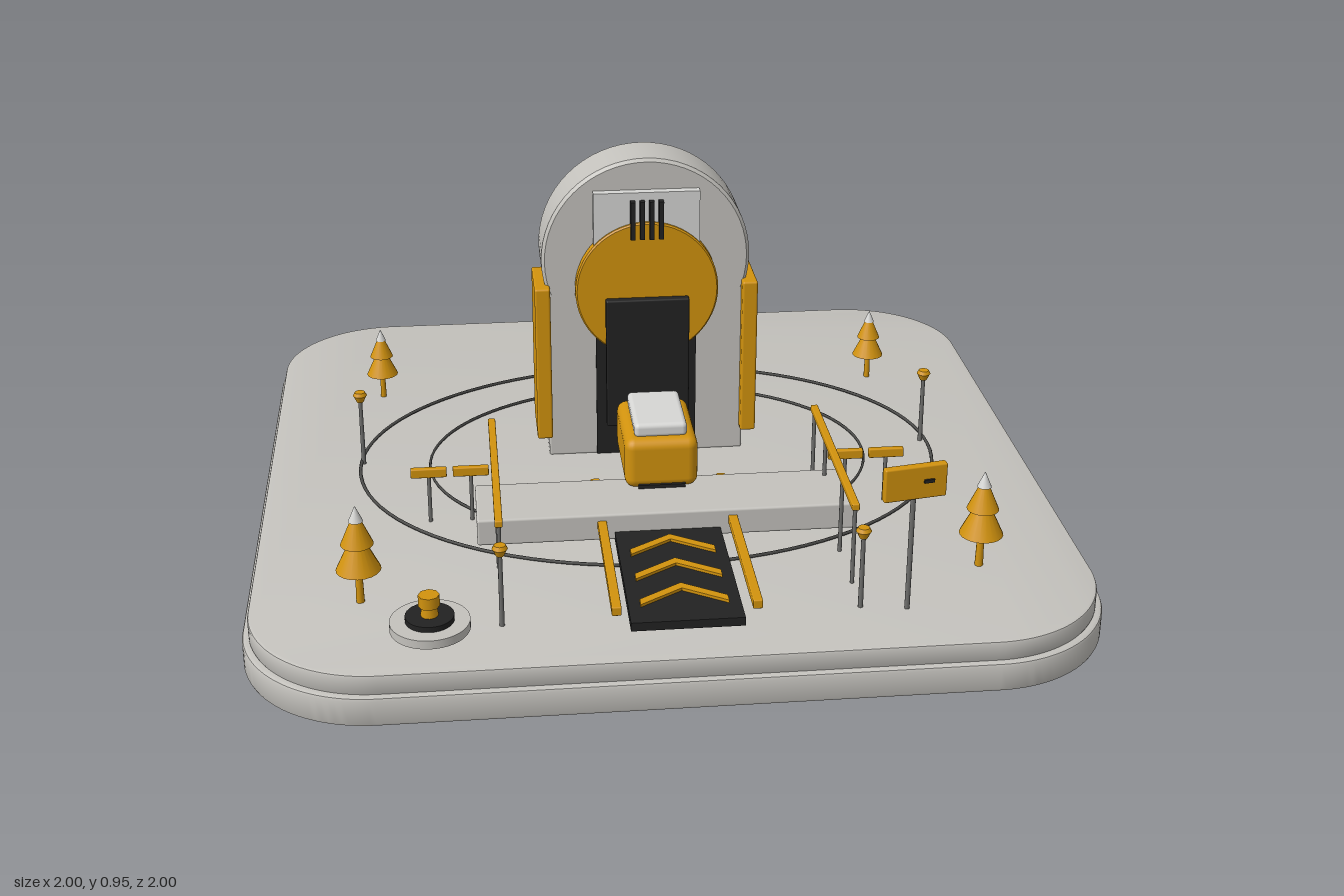
import * as THREE from 'three';
import { RoundedBoxGeometry } from 'three/addons/geometries/RoundedBoxGeometry.js';
import { toCreasedNormals } from 'three/addons/utils/BufferGeometryUtils.js';

const mat = (name, color) => {
  const m = new THREE.MeshStandardMaterial({ color });
  m.name = name;
  return m;
};

export function createModel() {
  const root = new THREE.Group();
  root.name = 'entrancePlaza';
  const stone = mat('stone', 0xc4c2bd);
  const pale = mat('paleMetal', 0xd6d6d4);
  const gold = mat('gold', 0xd2930e);
  const dark = mat('charcoal', 0x222222);
  const line = mat('slate', 0x4c4c4a);
  const post = mat('postGrey', 0x6e6e6c);

  const add = (name, geo, m, x = 0, y = 0, z = 0, parent = root) => {
    const mesh = new THREE.Mesh(geo, m);
    mesh.name = name;
    mesh.position.set(x, y, z);
    parent.add(mesh);
    return mesh;
  };
  // Box given by its limits on each axis
  const box = (name, m, x0, x1, y0, y1, z0, z1, r = 0, parent = root) => {
    const s = [x1 - x0, y1 - y0, z1 - z0];
    const geo = r ? new RoundedBoxGeometry(...s, 3, r) : new THREE.BoxGeometry(...s);
    return add(name, geo, m, (x0 + x1) / 2, (y0 + y1) / 2, (z0 + z1) / 2, parent);
  };
  const cyl = (name, m, rTop, rBottom, y0, y1, x, z, parent = root, sides = 20) =>
    add(name, new THREE.CylinderGeometry(rTop, rBottom, y1 - y0, sides), m, x, (y0 + y1) / 2, z, parent);
  const group = (name, x = 0, y = 0, z = 0) => {
    const g = new THREE.Group();
    g.name = name;
    g.position.set(x, y, z);
    root.add(g);
    return g;
  };

  // Rounded base in three layers
  const slab = (name, half, r, y0, y1, bevel) => {
    const h = half - bevel, c = r - bevel, s = new THREE.Shape();
    s.moveTo(h, -h + c);
    s.absarc(h - c, h - c, c, 0, Math.PI / 2);
    s.absarc(-h + c, h - c, c, Math.PI / 2, Math.PI);
    s.absarc(-h + c, -h + c, c, Math.PI, Math.PI * 1.5);
    s.absarc(h - c, -h + c, c, Math.PI * 1.5, Math.PI * 2);
    const geo = new THREE.ExtrudeGeometry(s, {
      depth: y1 - y0 - 2 * bevel, bevelEnabled: bevel > 0, bevelSize: bevel,
      bevelThickness: bevel, bevelSegments: 2, curveSegments: 16,
    });
    geo.rotateX(-Math.PI / 2);
    add(name, toCreasedNormals(geo, 0.6), stone, 0, y0 + bevel, 0);
  };
  slab('baseFoot', 0.955, 0.28, 0, 0.03, 0);
  slab('baseLower', 1.0, 0.31, 0.02, 0.092, 0.008);
  slab('baseUpper', 0.985, 0.3, 0.09, 0.14, 0.006);

  // Oval ground rings
  for (const [rx, rz] of [[0.75, 0.583], [0.57, 0.445]]) {
    const geo = new THREE.TorusGeometry(1, 0.006, 6, 96);
    geo.rotateX(Math.PI / 2);
    const ring = add('groundRing', geo, line, 0, 0.147, -0.005);
    ring.scale.set(rx, 0.7, rz);
  }

  // Round tower on two legs
  const disc = (name, m, r, y, z0, z1, bevel) => {
    const d = (z1 - z0) / 2;
    const pts = [[0, -d], [r - bevel, -d], [r, -d + bevel], [r, d - bevel], [r - bevel, d], [0, d]]
      .map(([a, b]) => new THREE.Vector2(a, b));
    const geo = new THREE.LatheGeometry(pts, 64);
    geo.rotateX(Math.PI / 2);
    return add(name, toCreasedNormals(geo, 0.5), m, 0, y, (z0 + z1) / 2);
  };
  disc('towerDrum', stone, 0.267, 0.683, -0.2, -0.05, 0.008);
  for (const s of [-1, 1]) {
    box('towerLeg', stone, s * 0.19 - 0.065, s * 0.19 + 0.065, 0.138, 0.6, -0.195, -0.05, 0.006);
    box('sidePanel', gold, s * 0.267 - 0.02, s * 0.267 + 0.02, 0.2, 0.62, -0.192, -0.022, 0.006);
  }
  box('darkPassage', dark, -0.13, 0.13, 0.14, 0.48, -0.18, -0.045);
  box('facePlate', pale, -0.135, 0.135, 0.6, 0.87, -0.052, -0.026);
  disc('goldDisc', gold, 0.183, 0.61, -0.05, -0.016, 0.004);
  box('door', dark, -0.107, 0.107, 0.24, 0.592, -0.02, 0.004, 0.005);
  for (let i = 0; i < 4; i++) {
    const x = -0.036 + i * 0.024;
    box('faceBar', dark, x - 0.006, x + 0.006, 0.75, 0.85, -0.028, -0.008);
  }

  // Cross platform, walkway, side rails and chevrons
  box('platform', stone, -0.457, 0.457, 0.165, 0.233, 0.287, 0.477, 0.006);
  box('walkway', dark, -0.128, 0.128, 0.165, 0.186, 0.225, 0.9);
  for (const s of [-1, 1]) {
    box('walkwayRail', gold, s * 0.158 - 0.011, s * 0.158 + 0.011, 0.195, 0.217, 0.25, 0.882, 0.003);
  }
  for (let i = 0; i < 3; i++) {
    const s = new THREE.Shape();
    const pts = [[0, 0], [0.1, -0.065], [0.1, -0.09], [0, -0.025], [-0.1, -0.09], [-0.1, -0.065]];
    s.setFromPoints(pts.map(([x, y]) => new THREE.Vector2(x, y)));
    const geo = new THREE.ExtrudeGeometry(s, { depth: 0.008, bevelEnabled: false });
    geo.rotateX(-Math.PI / 2);
    add('chevron', geo, gold, 0, 0.185, 0.512 + i * 0.116);
  }

  // Small cabin with a pale roof
  box('cabin', gold, -0.09, 0.09, 0.229, 0.36, 0.088, 0.347, 0.025);
  box('cabinRoof', pale, -0.065, 0.065, 0.355, 0.392, 0.118, 0.32, 0.012);
  box('cabinUnderside', dark, -0.06, 0.06, 0.18, 0.236, 0.11, 0.335);
  box('cabinSill', dark, -0.058, 0.058, 0.234, 0.243, 0.335, 0.352);

  // Handrails and low barriers on both sides
  for (const s of [-1, 1]) {
    const x = s * 0.409;
    box('handrail', gold, x - 0.009, x + 0.009, 0.333, 0.35, 0.155, 0.703, 0.003);
    for (const z of [0.165, 0.32, 0.54, 0.693]) cyl('handrailPost', post, 0.005, 0.005, 0.14, 0.335, x, z, root, 10);
    for (const bx of [0.466, 0.569]) {
      box('barrierBoard', gold, s * bx - 0.044, s * bx + 0.044, 0.262, 0.286, 0.282, 0.298, 0.003);
      cyl('barrierPost', post, 0.005, 0.005, 0.14, 0.265, s * bx, 0.29, root, 10);
    }
  }

  // Lamps
  for (const [x, z] of [[-0.41, 0.803], [0.407, 0.803], [-0.743, -0.048], [0.738, -0.04]]) {
    const g = group('lamp', x, 0.14, z);
    cyl('lampPole', post, 0.005, 0.006, 0, 0.185, 0, 0, g, 10);
    cyl('lampHead', gold, 0.017, 0.009, 0.178, 0.196, 0, 0, g, 16);
    cyl('lampCap', gold, 0.013, 0.018, 0.196, 0.205, 0, 0, g, 16);
  }

  // Trees with pale tips
  for (const [x, z, k] of [[-0.73, 0.665, 1], [0.725, 0.64, 1], [-0.7, -0.47, 0.82], [0.68, -0.47, 0.82]]) {
    const g = group('tree', x, 0.14, z);
    g.scale.setScalar(k);
    cyl('trunk', gold, 0.008, 0.01, 0, 0.1, 0, 0, g, 10);
    cyl('lowerBranches', gold, 0.014, 0.052, 0.085, 0.165, 0, 0, g);
    cyl('upperBranches', gold, 0.01, 0.038, 0.15, 0.215, 0, 0, g);
    cyl('treeTip', pale, 0.001, 0.017, 0.208, 0.245, 0, 0, g);
  }

  // Round pedestal with a gold ornament
  const ped = group('pedestal', -0.57, 0, 0.84);
  cyl('pedestalBase', stone, 0.09, 0.09, 0.165, 0.186, 0, 0, ped, 40);
  cyl('pedestalDisc', dark, 0.055, 0.055, 0.186, 0.199, 0, 0, ped, 32);
  cyl('ornamentStem', gold, 0.016, 0.02, 0.199, 0.23, 0, 0, ped, 12);
  cyl('ornamentTop', gold, 0.024, 0.024, 0.222, 0.25, 0, 0, ped, 8);

  // Direction board on a pole
  const board = group('directionBoard', 0.512, 0, 0.823);
  board.rotation.y = 0.17;
  cyl('boardPole', post, 0.006, 0.006, 0.14, 0.43, 0, -0.003, board, 10);
  box('boardPanel', gold, -0.074, 0.074, 0.424, 0.505, -0.01, 0.01, 0.004, board);
  box('boardMark', dark, 0.018, 0.042, 0.464, 0.472, 0.008, 0.015, 0, board);

  return root;
}
